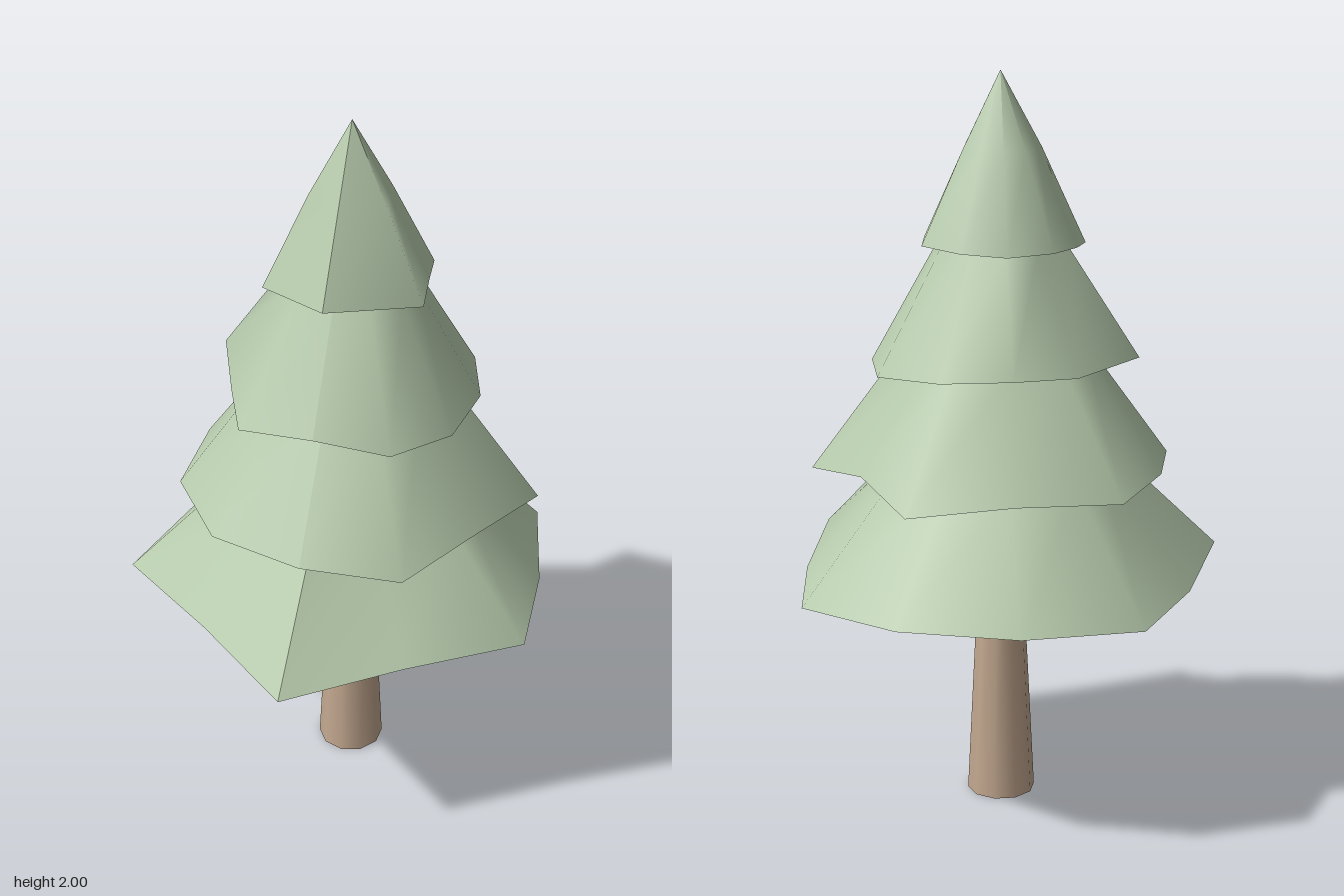
import * as THREE from 'three';

const AXIS_Z = -0.045;

// Rim corners [x, y, z] start at the front and run towards +x;
// rows [scale, y] shrink the rim towards the trunk axis.
const TIERS = [
  {
    name: 'bottomBranches', under: 0.67, rows: [[0.53, 0.96], [0.38, 1.08]],
    rim: [[0, 0.635, 0.58], [0.28, 0.66, 0.385], [0.565, 0.68, 0.21], [0.53, 0.645, -0.125],
      [0.45, 0.64, -0.44], [0.16, 0.65, -0.59], [-0.16, 0.65, -0.59], [-0.45, 0.64, -0.44],
      [-0.53, 0.645, -0.125], [-0.565, 0.68, 0.21], [-0.28, 0.66, 0.385]],
  },
  {
    name: 'lowerBranches', under: 0.97, rows: [[0.54, 1.25], [0.38, 1.37]],
    rim: [[0, 0.94, 0.4], [0.27, 0.94, 0.375], [0.395, 0.945, 0.13], [0.51, 0.93, -0.12],
      [0.315, 0.97, -0.325], [0.145, 0.93, -0.54], [-0.12, 0.95, -0.46], [-0.38, 0.95, -0.375],
      [-0.445, 0.96, -0.11], [-0.43, 0.955, 0.15], [-0.258, 0.95, 0.352]],
  },
  {
    name: 'upperBranches', under: 1.26, rows: [[0.49, 1.55], [0.33, 1.67]],
    rim: [[0, 1.26, 0.28], [0.2, 1.24, 0.26], [0.317, 1.225, 0.096], [0.342, 1.235, -0.096],
      [0.276, 1.23, -0.29], [0.096, 1.235, -0.36], [-0.105, 1.26, -0.413], [-0.242, 1.24, -0.25],
      [-0.38, 1.27, -0.1], [-0.295, 1.24, 0.084], [-0.205, 1.245, 0.27]],
  },
  {
    name: 'topBranches', under: 1.58, rows: [[0.48, 1.8], [0, 2]],
    rim: [[0, 1.585, 0.195], [0.22, 1.565, 0.053], [0.197, 1.57, -0.08], [0.177, 1.56, -0.2],
      [0.065, 1.55, -0.25], [-0.06, 1.545, -0.26], [-0.168, 1.55, -0.195], [-0.21, 1.55, -0.08],
      [-0.212, 1.545, 0.05]],
  },
];

// Smooth skirt with a crease along the front, plus a separate underside fan
function tierGeometry({ rim, rows, under }) {
  const n = rim.length, pos = [], index = [];
  const loop = [...rim, rim[0]];
  for (const [x, y, z] of loop) pos.push(x, y, z);
  for (const [s, y] of rows) {
    for (const [x, , z] of loop) pos.push(x * s, y, AXIS_Z + (z - AXIS_Z) * s);
  }
  for (let r = 0; r < rows.length; r++) {
    for (let i = 0; i < n; i++) {
      const a = r * (n + 1) + i, c = a + n + 1;
      index.push(a, a + 1, c + 1);
      if (rows[r][0] > 0) index.push(a, c + 1, c);
    }
  }
  const base = pos.length / 3;
  pos.push(0, under, AXIS_Z);
  for (const p of rim) pos.push(...p);
  for (let i = 0; i < n; i++) index.push(base, base + 1 + (i + 1) % n, base + 1 + i);

  const geo = new THREE.BufferGeometry();
  geo.setAttribute('position', new THREE.Float32BufferAttribute(pos, 3));
  geo.setIndex(index);
  geo.computeVertexNormals();
  return geo;
}

// Tapered round stick between two points
function stick(name, from, to, r0, r1, sides, material) {
  const a = new THREE.Vector3(...from), b = new THREE.Vector3(...to);
  const dir = b.clone().sub(a);
  const mesh = new THREE.Mesh(new THREE.CylinderGeometry(r1, r0, dir.length(), sides), material);
  mesh.name = name;
  mesh.position.copy(a).add(b).multiplyScalar(0.5);
  mesh.quaternion.setFromUnitVectors(new THREE.Vector3(0, 1, 0), dir.normalize());
  return mesh;
}

export function createModel() {
  const model = new THREE.Group();
  model.name = 'pineTree';
  const foliage = new THREE.MeshStandardMaterial({ color: 0xb5c9ab });
  foliage.name = 'paleGreenFoliage';
  const bark = new THREE.MeshStandardMaterial({ color: 0xc2a78f });
  bark.name = 'lightBrownBark';

  // Foliage tiers
  for (const tier of TIERS) {
    const mesh = new THREE.Mesh(tierGeometry(tier), foliage);
    mesh.name = tier.name;
    model.add(mesh);
  }

  // Trunk and bare twigs
  model.add(
    stick('trunk', [0, 0, AXIS_Z + 0.005], [0, 0.72, AXIS_Z], 0.094, 0.058, 10, bark),
    stick('leftTwig', [0.04, 0.495, AXIS_Z], [0.205, 0.575, AXIS_Z], 0.015, 0.014, 8, bark),
    stick('rightTwig', [-0.03, 0.545, 0], [-0.155, 0.625, 0.1], 0.015, 0.014, 8, bark),
    stick('backTwig', [0, 0.57, -0.08], [0, 0.65, -0.23], 0.015, 0.014, 8, bark),
  );
  return model;
}
